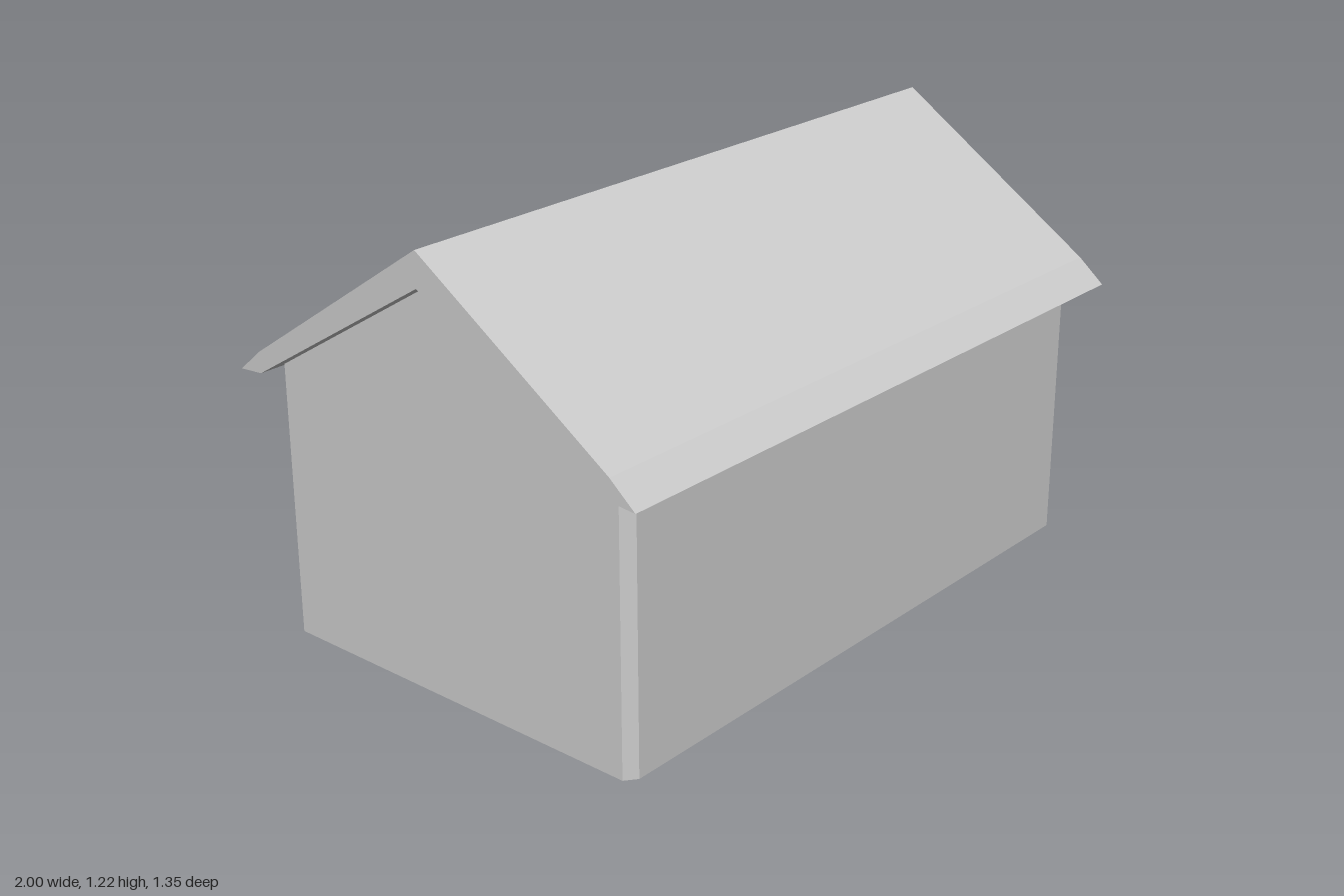
import * as THREE from 'three';

const material = new THREE.MeshStandardMaterial({ color: 0xcccccc, flatShading: true });
const HALF_X = 0.943, HALF_Z = 0.6;

function addMesh(parent, name, geometry) {
  const mesh = new THREE.Mesh(geometry, material);
  mesh.name = name;
  parent.add(mesh);
  return mesh;
}

// Extrudes an end-on profile (horizontal = -z, vertical = y) along x from x0 to x1
function extrudeAlongX(shape, x0, x1) {
  const geometry = new THREE.ExtrudeGeometry(shape, { depth: x1 - x0, bevelEnabled: false, curveSegments: 8 });
  return geometry.rotateY(Math.PI / 2).translate(x0, 0, 0);
}

const shapeFrom = (points) => new THREE.Shape(points.map(([a, b]) => new THREE.Vector2(a, b)));

// Walls rise from a chamfered footprint to the underside of the roof
function wallGeometry() {
  const x = HALF_X, z = HALF_Z, cx = x - 0.032, cz = z - 0.025;
  const loop = [
    [x, 0], [x, -cz], [cx, -z], [-cx, -z], [-x, -cz],
    [-x, 0], [-x, cz], [-cx, z], [cx, z], [x, cz],
  ];
  const wallTop = (pz) => 1.12 - 0.607 * Math.abs(pz);
  const positions = [];
  loop.forEach(([ax, az], i) => {
    const [bx, bz] = loop[(i + 1) % loop.length];
    const a = [ax, 0, az], b = [bx, 0, bz];
    const aTop = [ax, wallTop(az), az], bTop = [bx, wallTop(bz), bz];
    positions.push(...a, ...b, ...bTop, ...a, ...bTop, ...aTop);
    positions.push(0, 0, 0, ...b, ...a); // floor
  });
  const geometry = new THREE.BufferGeometry();
  geometry.setAttribute('position', new THREE.Float32BufferAttribute(positions, 3));
  geometry.computeVertexNormals();
  return geometry;
}

export function createModel() {
  const house = new THREE.Group();
  house.name = 'house';

  addMesh(house, 'walls', wallGeometry());

  // Thick gabled roof with flared, pointed eaves
  const roof = shapeFrom([
    [0, 1.215], [-0.6, 0.815], [-0.677, 0.75], [-0.6, 0.756],
    [0, 1.12], [0.6, 0.756], [0.677, 0.75], [0.6, 0.815],
  ]);
  addMesh(house, 'roof', extrudeAlongX(roof, -1, 1));

  // Door surround on the +x gable
  const door = new THREE.Group();
  door.name = 'doorSurround';
  house.add(door);

  const lintel = new THREE.Shape();
  lintel.moveTo(-0.2, 0.517);
  lintel.quadraticCurveTo(0, 0.593, 0.2, 0.517);
  lintel.lineTo(0.2, 0.565);
  lintel.quadraticCurveTo(0, 0.635, -0.2, 0.565);
  addMesh(door, 'lintel', extrudeAlongX(lintel, 0.93, 0.964));

  // Slightly bowed posts, thicker at the foot
  for (const side of [-1, 1]) {
    const post = new THREE.Shape();
    post.moveTo(side * 0.124, 0);
    post.quadraticCurveTo(side * 0.106, 0.27, side * 0.126, 0.538);
    post.lineTo(side * 0.174, 0.525);
    post.quadraticCurveTo(side * 0.154, 0.27, side * 0.173, 0);
    const geometry = extrudeAlongX(post, 0.93, 0.97);
    const p = geometry.attributes.position;
    for (let i = 0; i < p.count; i++) {
      if (p.getX(i) > 0.95) p.setX(i, 0.97 - 0.02 * p.getY(i));
    }
    geometry.computeVertexNormals();
    addMesh(door, side < 0 ? 'frontPost' : 'backPost', geometry);
  }

  return house;
}
